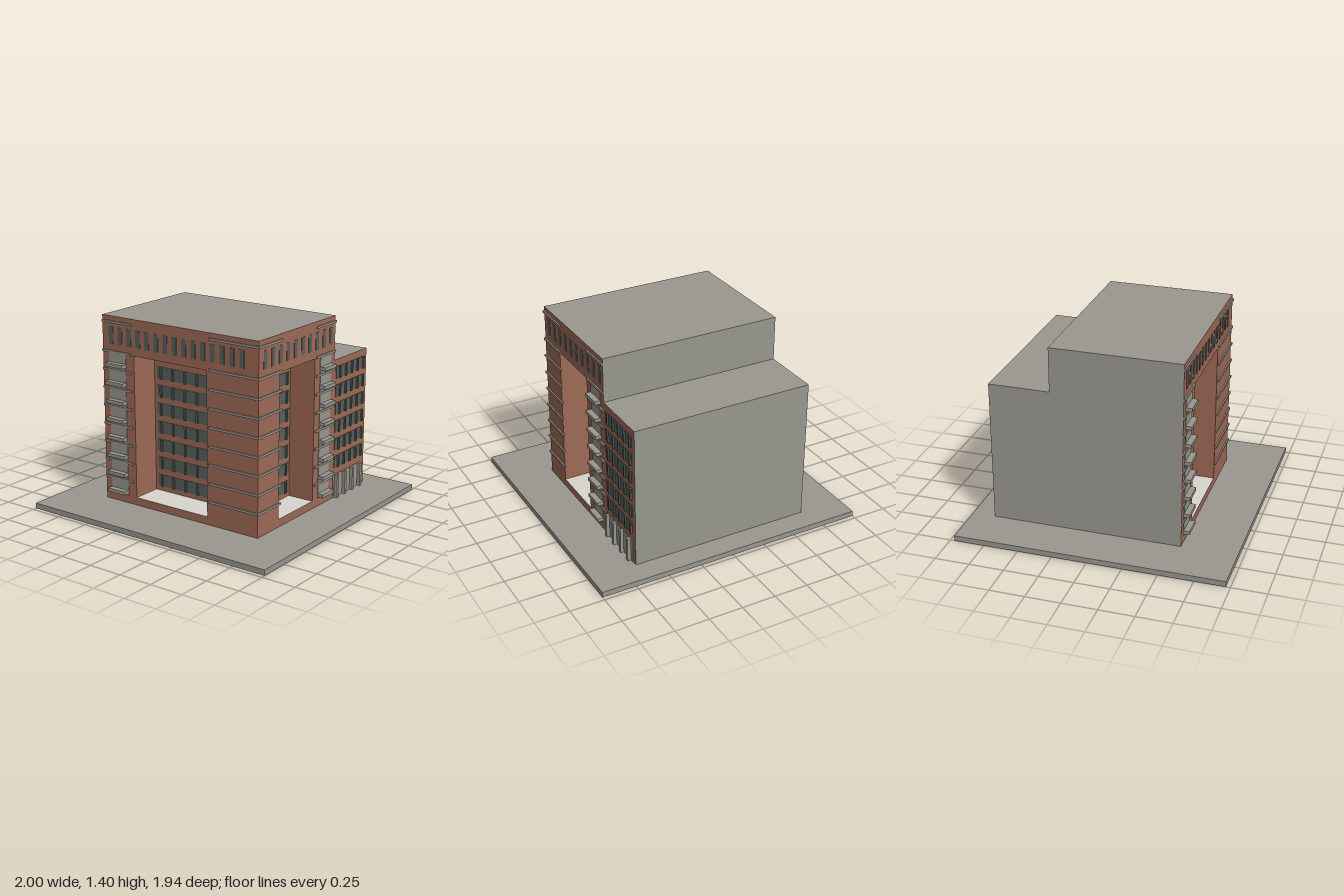
import * as THREE from 'three';

const material = (name, color) => {
  const m = new THREE.MeshStandardMaterial({ color });
  m.name = name;
  return m;
};

export function createModel() {
  const brick = material('brick', 0x9f6a56);
  const concrete = material('concrete', 0x99978e);
  const glass = material('tinted glass', 0x58615d);
  const pale = material('pale floor', 0xd9d6cf);

  const model = new THREE.Group();
  model.name = 'building';

  // Box given by its limits; mat may be an array ordered +x -x +y -y +z -z
  function box(name, x0, x1, y0, y1, z0, z1, mat, parent = model) {
    const mesh = new THREE.Mesh(new THREE.BoxGeometry(x1 - x0, y1 - y0, z1 - z0), mat);
    mesh.position.set((x0 + x1) / 2, (y0 + y1) / 2, (z0 + z1) / 2);
    mesh.name = name;
    parent.add(mesh);
    return mesh;
  }
  function group(name) {
    const g = new THREE.Group();
    g.name = name;
    model.add(g);
    return g;
  }

  const X = 0.667, F = 0.572, S = -0.362, B = -0.803; // side, front, step, back
  const G = 0.04, Y0 = 0.097, Y1 = 1.14, ROOF = 1.4;
  const PX0 = -0.385, PX1 = 0.245, PZ = 0.35;         // front recess
  const QZ0 = -0.105, QZ1 = 0.325, QX = 0.467;        // side recess
  const b = brick, c = concrete;

  box('groundSlab', -1, 1, 0, G, -0.97, 0.97, c);

  // Tower: plinth, crown, core and the piers around the two recesses
  box('plinth', -X, X, G, Y0, S, F, [b, c, pale, c, b, c]);
  box('crown', -X, X, Y1, ROOF, S, F, [b, c, c, c, b, c]);
  box('core', -X, QX, Y0, Y1, S, PZ, [b, c, c, c, b, c]);
  box('leftPier', -X, PX0, Y0, Y1, PZ, F, [b, c, c, c, b, c]);
  box('cornerPier', PX1, X, Y0, Y1, QZ1, F, [b, b, c, c, b, b]);
  box('rearPier', QX, X, Y0, Y1, S, QZ0, [b, c, c, c, b, c]);
  box('rearWing', -X, X, G, 1.077, B, S, [b, c, c, c, c, c]);

  // A flat or projecting piece on a front-facing or side-facing wall
  function onWall(name, side, plane, u0, u1, y0, y1, depth, mat, parent) {
    if (side) box(name, plane - 0.002, plane + depth, y0, y1, u0, u1, mat, parent);
    else box(name, u0, u1, y0, y1, plane - 0.002, plane + depth, mat, parent);
  }

  // Window bands with projecting mullions
  function bands(name, side, plane, u0, u1, mullions, first, last) {
    const g = group(name);
    for (let i = first; i <= last; i++) {
      const y0 = 0.133 + 0.134 * i, y1 = Math.min(y0 + 0.088, Y1);
      onWall('windowBand', side, plane, u0, u1, y0, y1, 0.004, glass, g);
      for (const u of mullions)
        onWall('mullion', side, plane, u - 0.007, u + 0.007, y0, y1, 0.015, glass, g);
    }
  }
  bands('frontRecessWindows', false, PZ, -0.36, 0.215, [-0.322, -0.216, -0.109, -0.002, 0.105, 0.208], 0, 7);
  bands('sideRecessWindows', true, QX, -0.088, 0.305, [0.265, 0.16, 0.057, -0.05], 0, 7);
  bands('wingWindows', true, X, -0.762, -0.385, [-0.75, -0.67, -0.59, -0.51, -0.43], 1, 6);

  // Slit windows in the crown
  const slits = group('crownWindows');
  for (let i = 0; i < 15; i++) {
    const x = -0.59 + i * 0.0803;
    onWall('crownWindow', false, F, x - 0.019, x + 0.019, 1.2, 1.325, 0.003, glass, slits);
  }
  for (let i = 0; i < 10; i++) {
    const z = 0.497 - i * 0.0892;
    onWall('crownWindow', true, X, z - 0.019, z + 0.019, 1.2, 1.325, 0.003, glass, slits);
  }

  // Thin string courses on the piers, wrapping the corner
  const courses = group('stringCourses');
  const levels = [1.358];
  for (let i = 0; i < 8; i++) levels.push(0.211 + i * 0.1335);
  for (const y of levels) {
    const y0 = y - 0.008, y1 = y + 0.008;
    onWall('frontCourse', false, F, -X, -0.405, y0, y1, 0.01, c, courses);
    onWall('frontCourse', false, F, 0.265, X + 0.01, y0, y1, 0.01, c, courses);
    onWall('sideCourse', true, X, 0.308, F, y0, y1, 0.01, c, courses);
    onWall('sideCourse', true, X, S, -0.12, y0, y1, 0.01, c, courses);
  }

  // Concrete strips with stacked balconies
  function balconies(name, side, plane, u0, u1) {
    const g = group(name);
    onWall('balconyStrip', side, plane, u0, u1, Y0, Y1, 0.004, c, g);
    for (let i = 0; i < 8; i++) {
      const y = 0.122 + i * 0.1335;
      onWall('balcony', side, plane, u0 - 0.005, u1, y - 0.013, y + 0.013, 0.045, c, g);
    }
  }
  balconies('frontBalconies', false, F, -0.61, -0.46);
  balconies('sideBalconies', true, X, -0.31, -0.172);

  // Ground floor of the wing: concrete panel with fins
  const base = group('wingGroundFloor');
  onWall('wingPanel', true, X, -0.768, -0.376, G, 0.215, 0.004, c, base);
  for (const z of [-0.725, -0.618, -0.512, -0.405])
    onWall('wingFin', true, X, z - 0.012, z + 0.012, G, 0.215, 0.028, c, base);

  return model;
}
